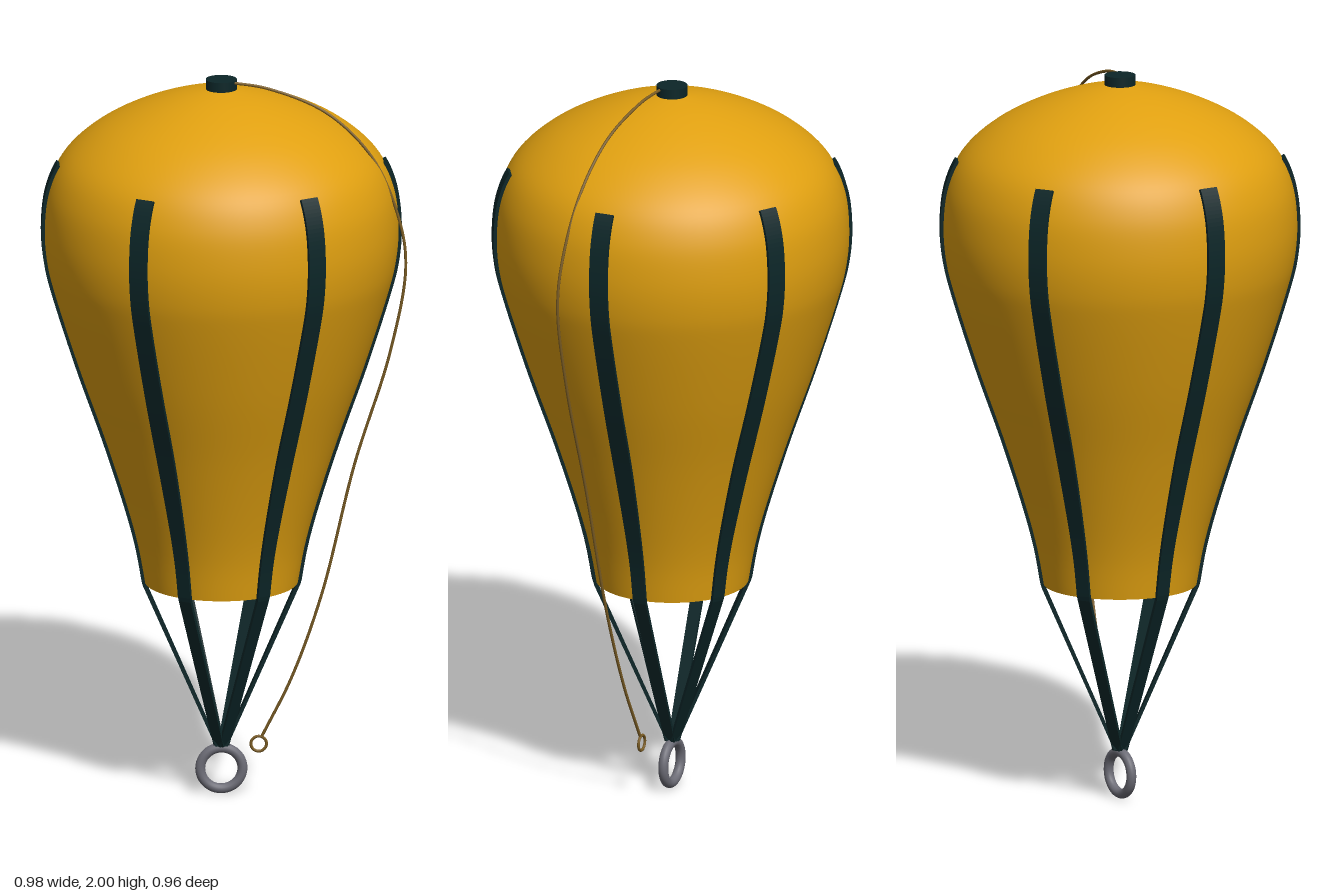
import * as THREE from 'three';

const AXIS_X = -0.008;

const mat = (name, color, side = THREE.FrontSide) => {
  const m = new THREE.MeshStandardMaterial({ color, side });
  m.name = name;
  return m;
};

// Flat band swept along (radius, height) points, lying in the x-y plane and facing +x
function bandGeometry(rows) {
  const pos = [], index = [];
  rows.forEach(({ p, n, w, inner, outer }) => {
    const a = p.clone().addScaledVector(n, -inner);
    const b = p.clone().addScaledVector(n, outer);
    pos.push(a.x, a.y, w / 2, b.x, b.y, w / 2, b.x, b.y, -w / 2, a.x, a.y, -w / 2);
  });
  for (let i = 0; i < rows.length - 1; i++) {
    for (let k = 0; k < 4; k++) {
      const a = i * 4 + k, b = i * 4 + (k + 1) % 4;
      index.push(a, b, b + 4, a, b + 4, a + 4);
    }
  }
  const e = (rows.length - 1) * 4;
  index.push(0, 2, 1, 0, 3, 2, e, e + 1, e + 2, e, e + 2, e + 3);
  const indexed = new THREE.BufferGeometry();
  indexed.setAttribute('position', new THREE.Float32BufferAttribute(pos, 3));
  indexed.setIndex(index);
  const g = indexed.toNonIndexed();
  g.computeVertexNormals();
  return g;
}

export function createModel() {
  const model = new THREE.Group();
  model.name = 'liftBag';

  const yellow = mat('yellow fabric', 0xe0a010, THREE.DoubleSide);
  const webbing = mat('dark webbing', 0x0c2628);
  const steel = mat('grey steel', 0x6c6c76);
  const rope = mat('brown cord', 0x7a5c24);

  const add = (name, geometry, material, x = AXIS_X, y = 0, z = 0) => {
    const mesh = new THREE.Mesh(geometry, material);
    mesh.name = name;
    mesh.position.set(x, y, z);
    model.add(mesh);
    return mesh;
  };

  // Bag: open at the bottom, domed at the top
  const profile = new THREE.SplineCurve([
    [0.207, 0.595], [0.226, 0.7], [0.258, 0.82], [0.315, 1.0], [0.385, 1.2], [0.448, 1.4],
    [0.472, 1.5], [0.478, 1.6], [0.465, 1.7], [0.425, 1.785], [0.345, 1.858], [0.24, 1.915],
    [0.12, 1.957], [0.0, 1.98],
  ].map(([r, y]) => new THREE.Vector2(r, y)));
  const outline = profile.getPoints(78);
  outline[outline.length - 1].x = 0;
  add('bag', new THREE.LatheGeometry(outline, 96), yellow);

  // Straps: six bands hugging the bag, then converging on the ring
  const rows = [];
  const legNormal = new THREE.Vector2(0.46, -0.2).normalize();
  rows.push({ p: new THREE.Vector2(0.012, 0.135), n: legNormal, w: 0.03, inner: 0.004, outer: 0.004 });
  rows.push({ p: new THREE.Vector2(0.207, 0.59), n: legNormal, w: 0.036, inner: 0.004, outer: 0.006 });
  for (let i = 1; i <= 120; i++) {
    const t = i / 120;
    const p = profile.getPoint(t);
    if (p.y > 1.768) break;
    const d = profile.getTangent(t);
    rows.push({
      p, n: new THREE.Vector2(d.y, -d.x), inner: 0.006, outer: 0.008,
      w: 0.038 + 0.014 * THREE.MathUtils.smoothstep(p.y, 0.6, 1.1),
    });
  }
  const strap = bandGeometry(rows);
  for (let i = 0; i < 6; i++) {
    add('strap' + (i + 1), strap, webbing).rotation.y = i * Math.PI / 3;
  }

  // Dump valve on the crown
  add('topValve', new THREE.CylinderGeometry(0.042, 0.042, 0.03, 40), webbing, AXIS_X, 1.985);

  // Lifting ring where the straps meet
  add('liftingRing', new THREE.TorusGeometry(0.057, 0.0135, 16, 48), steel, AXIS_X, 0.0705);

  // Pull cord from the valve down the left side, with its small pull ring
  const cord = new THREE.CatmullRomCurve3([
    [0.015, 1.995, 0.018], [0.116, 1.982, 0.037], [0.274, 1.92, 0.066], [0.396, 1.8, 0.09],
    [0.468, 1.63, 0.11], [0.485, 1.5, 0.116], [0.443, 1.26, 0.108], [0.348, 0.945, 0.094],
    [0.26, 0.575, 0.073], [0.18, 0.34, 0.058], [0.1, 0.172, 0.046],
  ].map(c => new THREE.Vector3(...c)));
  add('pullCord', new THREE.TubeGeometry(cord, 120, 0.004, 8), rope, 0);
  add('pullRing', new THREE.TorusGeometry(0.021, 0.004, 8, 32), rope, 0.091, 0.15, 0.045);

  return model;
}
